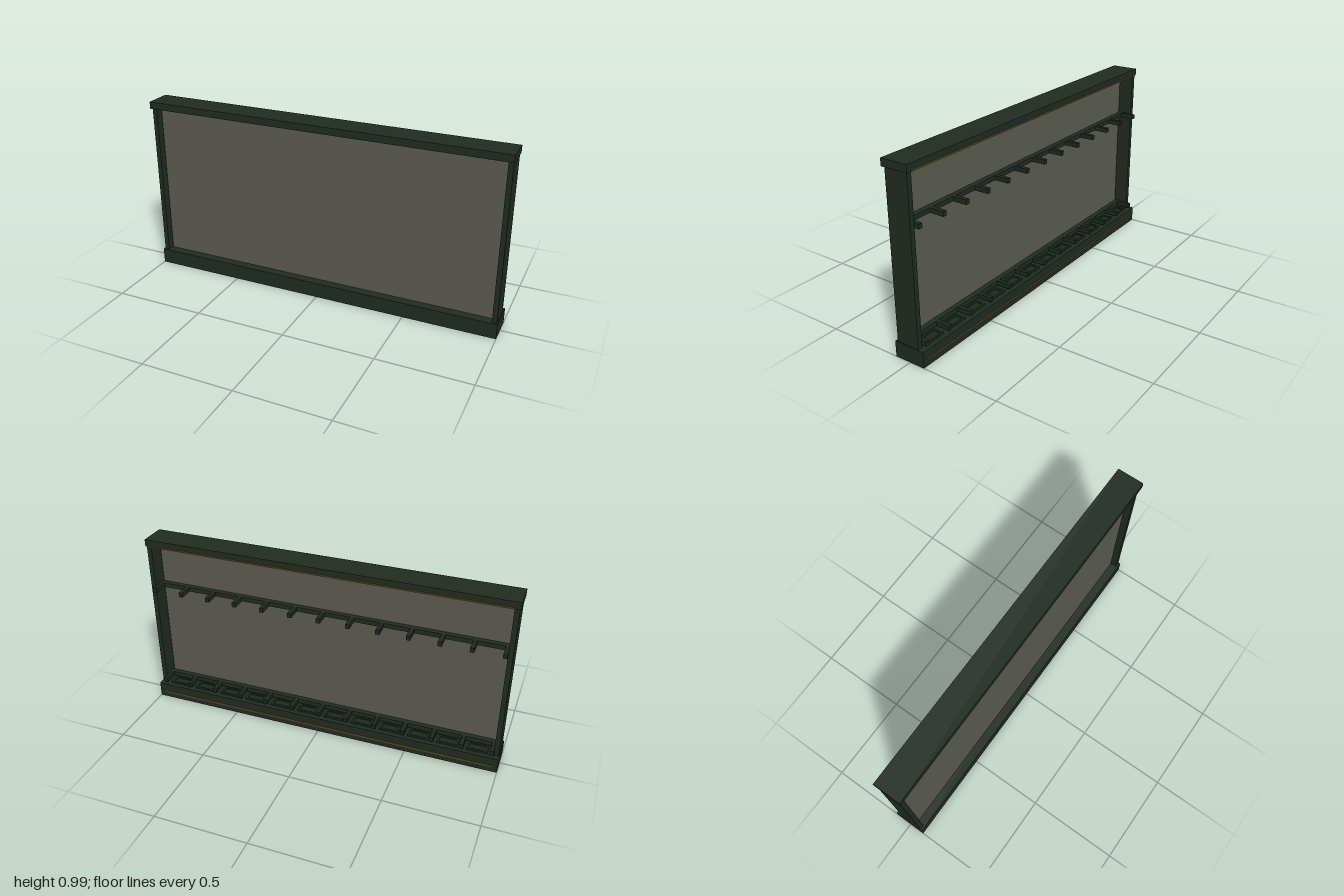
import * as THREE from 'three';

const mat = (name, color) => {
  const m = new THREE.MeshStandardMaterial({ color });
  m.name = name;
  return m;
};

export function createModel() {
  const green = mat('dark green', 0x212c22);
  const peg = mat('dark grey green', 0x202822);
  const grey = mat('panel grey', 0x5c5d53);
  const gold = mat('dull gold', 0x7a6035);
  const root = new THREE.Group();
  root.name = 'wallRack';

  // box given by its lower and upper limits
  const box = (name, m, [x0, x1], [y0, y1], [z0, z1], parent = root) => {
    const mesh = new THREE.Mesh(new THREE.BoxGeometry(x1 - x0, y1 - y0, z1 - z0), m);
    mesh.position.set((x0 + x1) / 2, (y0 + y1) / 2, (z0 + z1) / 2);
    mesh.name = name;
    parent.add(mesh);
  };

  // frame
  box('base', green, [-1, 1], [0, 0.085], [-0.085, 0.088]);
  box('topCap', green, [-1, 1], [0.953, 0.992], [-0.058, 0.092]);
  box('leftPost', green, [0.969, 0.995], [0.085, 0.953], [-0.052, 0.076]);
  box('rightPost', green, [-0.995, -0.969], [0.085, 0.953], [-0.052, 0.076]);
  box('panel', grey, [-0.963, 0.963], [0.085, 0.953], [0.028, 0.04]);

  // gold trim lines on the back
  box('capTrim', gold, [-0.97, 0.97], [0.954, 0.96], [-0.063, -0.058]);
  box('baseTrim', gold, [-0.97, 0.97], [0.032, 0.038], [-0.09, -0.085]);

  // two rails, each with thirteen pegs
  for (const [name, y] of [['lower', 0.1], ['upper', 0.691]]) {
    const rack = new THREE.Group();
    rack.name = name + 'Rack';
    root.add(rack);
    box(name + 'Rail', green, [-0.969, 0.969], [y, y + 0.025], [0, 0.028], rack);
    for (let i = -6; i <= 6; i++) {
      const x = i * 0.16;
      box(name + 'Peg', peg, [x - 0.011, x + 0.011], [y, y + 0.025], [-0.079, 0], rack);
    }
  }

  // shallow rimmed trays on the base between the pegs
  for (let i = 0; i < 12; i++) {
    const x = -0.88 + i * 0.16;
    const tray = new THREE.Group();
    tray.name = 'tray';
    root.add(tray);
    box('trayFloor', peg, [x - 0.05, x + 0.05], [0.084, 0.088], [-0.058, 0.005], tray);
    for (const s of [-1, 1]) {
      const e = x + s * 0.05;
      box('traySide', green, [e - 0.006, e + 0.006], [0.085, 0.095], [-0.058, 0.005], tray);
    }
    box('trayBackRim', green, [x - 0.05, x + 0.05], [0.085, 0.095], [-0.058, -0.048], tray);
    box('trayFrontRim', green, [x - 0.05, x + 0.05], [0.085, 0.095], [-0.005, 0.005], tray);
  }
  return root;
}
